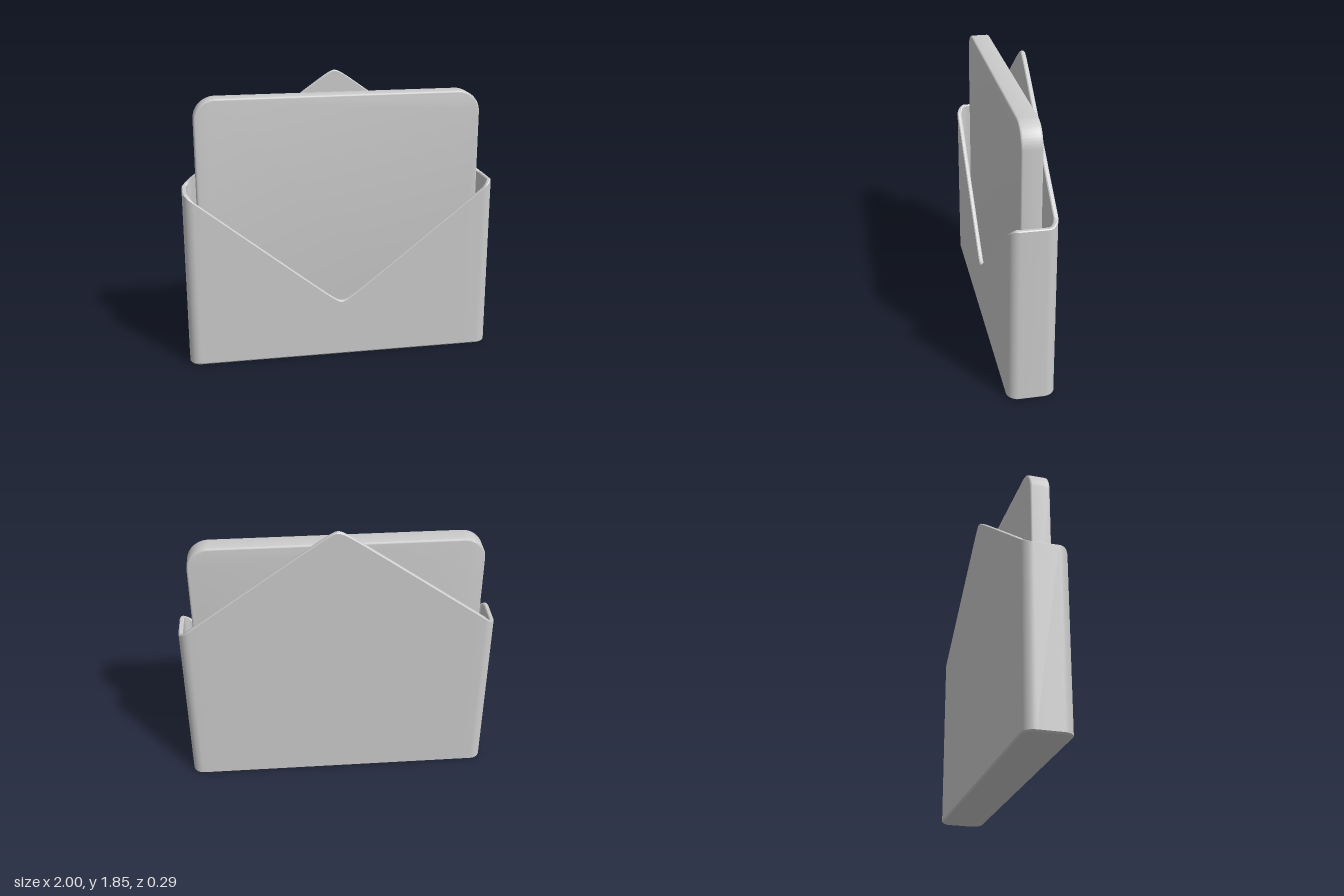
import * as THREE from 'three';
import { toCreasedNormals } from 'three/addons/utils/BufferGeometryUtils.js';

const HALF_W = 1, HALF_D = 0.147, RADIUS = 0.07, WALL = 0.028, FLOOR = 0.03;
const SIDE_TOP = 1.15, EDGE = 0.006;

// Perimeter as corner centres plus outward directions, so any inset keeps matching points
function perimeter() {
  const points = [], cx = HALF_W - RADIUS, cz = HALF_D - RADIUS, arc = 10, span = 40;
  const corners = [[1, 1], [-1, 1], [-1, -1], [1, -1]];
  corners.forEach(([sx, sz], q) => {
    for (let i = 0; i <= arc; i++) {
      const a = (q + i / arc) * Math.PI / 2;
      points.push({ x: sx * cx, z: sz * cz, nx: Math.cos(a), nz: Math.sin(a) });
    }
    // Long front and back walls, with points gathered near the middle
    if (q % 2 === 0) {
      for (let i = 1; i < span; i++) {
        const t = 1 - 2 * i / span;
        points.push({ x: sx * cx * Math.sign(t) * Math.abs(t) ** 1.8, z: sz * cz, nx: 0, nz: sz });
      }
    }
  });
  return points;
}

// Top edge: V-shaped notch in front, level sides, pointed flap behind
function rimHeight(p) {
  const x = p.x + p.nx * RADIUS, soft = Math.hypot(x, 0.032);
  return p.z > 0
    ? Math.min(SIDE_TOP, 0.355 + 0.8 * soft)
    : Math.max(SIDE_TOP, 1.878 - 0.73 * soft);
}

function envelopeGeometry() {
  const loop = perimeter(), n = loop.length;
  // Rings from the underside, up the outside, over the rim and down the inside
  const rings = [
    [0.01, () => 0],
    [0, () => 0.01],
    [0, p => rimHeight(p) - EDGE],
    [EDGE, rimHeight],
    [WALL - EDGE, rimHeight],
    [WALL, p => rimHeight(p) - EDGE],
    [WALL, () => FLOOR],
  ];
  const positions = [], index = [];
  for (const [inset, height] of rings) {
    for (const p of loop) {
      const r = RADIUS - inset;
      positions.push(p.x + p.nx * r, height(p), p.z + p.nz * r);
    }
  }
  for (let k = 0; k < rings.length - 1; k++) {
    for (let i = 0; i < n; i++) {
      const j = (i + 1) % n, a = k * n + i, b = a + n, c = k * n + j, d = c + n;
      index.push(a, b, c, c, b, d);
    }
  }
  // Underside and inner floor
  const under = positions.length / 3, floor = under + 1, last = (rings.length - 1) * n;
  positions.push(0, 0, 0, 0, FLOOR, 0);
  for (let i = 0; i < n; i++) {
    const j = (i + 1) % n;
    index.push(under, i, j, floor, last + j, last + i);
  }
  const geometry = new THREE.BufferGeometry();
  geometry.setAttribute('position', new THREE.Float32BufferAttribute(positions, 3));
  geometry.setIndex(index);
  return toCreasedNormals(geometry, 0.5);
}

// Rounded card with softly bevelled edges
function cardGeometry() {
  const w = 0.91, bottom = FLOOR, top = 1.73, r = 0.14, half = 0.063, bevel = 0.012;
  const s = new THREE.Shape();
  s.moveTo(-w + r, bottom);
  s.lineTo(w - r, bottom);
  s.absarc(w - r, bottom + r, r, -Math.PI / 2, 0, false);
  s.absarc(w - r, top - r, r, 0, Math.PI / 2, false);
  s.absarc(-w + r, top - r, r, Math.PI / 2, Math.PI, false);
  s.absarc(-w + r, bottom + r, r, Math.PI, Math.PI * 1.5, false);
  const geometry = new THREE.ExtrudeGeometry(s, {
    depth: 2 * (half - bevel), curveSegments: 16,
    bevelEnabled: true, bevelSize: bevel, bevelThickness: bevel, bevelOffset: -bevel, bevelSegments: 3,
  });
  geometry.translate(0, 0, -(half - bevel));
  return toCreasedNormals(geometry, 0.6);
}

export function createModel() {
  const group = new THREE.Group();
  group.name = 'openEnvelopeWithCard';
  const material = new THREE.MeshStandardMaterial({ color: 0xcccccc });
  const add = (name, geometry) => {
    const mesh = new THREE.Mesh(geometry, material);
    mesh.name = name;
    group.add(mesh);
  };
  add('envelope', envelopeGeometry());
  add('card', cardGeometry());
  return group;
}
